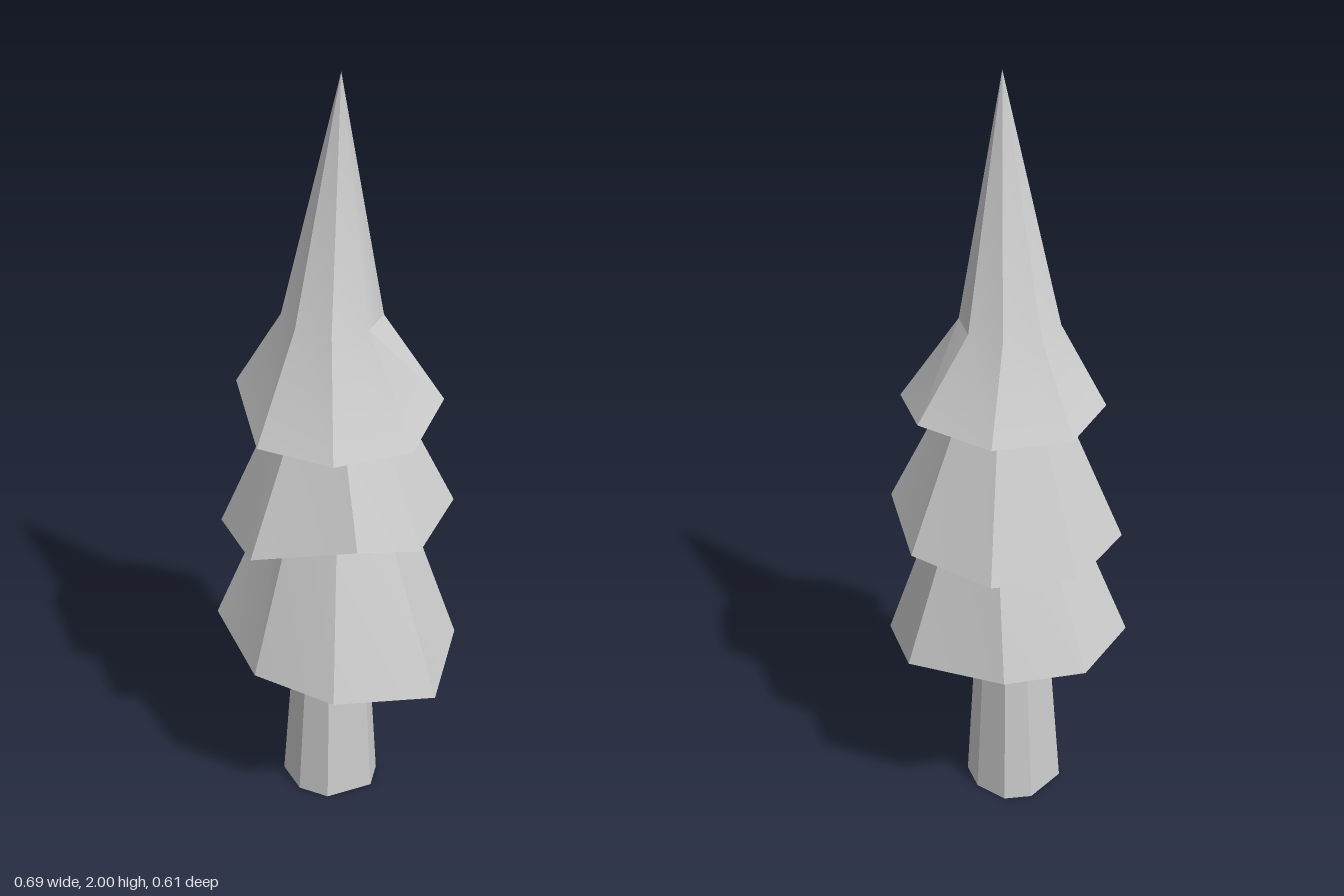
import * as THREE from 'three';
import { toCreasedNormals } from 'three/addons/utils/BufferGeometryUtils.js';

const material = new THREE.MeshStandardMaterial({ color: 0xcccccc });

// Joins rings of [x, y, z] corners (running from +x towards +z) and closes both ends at a point.
function loft(name, rings, bottom, top) {
  const pos = [];
  const tri = (a, b, c) => pos.push(...a, ...b, ...c);
  const n = rings[0].length;
  const last = rings[rings.length - 1];
  for (let i = 0; i < n; i++) {
    const j = (i + 1) % n;
    tri(bottom, rings[0][i], rings[0][j]);
    for (let r = 0; r < rings.length - 1; r++) {
      const a = rings[r], b = rings[r + 1];
      tri(a[i], b[i], b[j]);
      tri(a[i], b[j], a[j]);
    }
    tri(top, last[j], last[i]);
  }
  const geometry = new THREE.BufferGeometry();
  geometry.setAttribute('position', new THREE.Float32BufferAttribute(pos, 3));
  const mesh = new THREE.Mesh(toCreasedNormals(geometry, 0.4), material);
  mesh.name = name;
  return mesh;
}

// Regular eight-sided ring
function octagon(cx, cz, rx, rz, y) {
  return Array.from({ length: 8 }, (_, i) => {
    const a = (i * Math.PI) / 4;
    return [cx + rx * Math.cos(a), y, cz + rz * Math.sin(a)];
  });
}

export function createModel() {
  const group = new THREE.Group();
  group.name = 'pineTree';

  // Tapered trunk, its foot leaning forward a little
  const foot = [
    [0.11, 0, 0], [0.065, 0, 0.12], [-0.015, 0, 0.15], [-0.11, 0, 0.12],
    [-0.14, 0, 0], [-0.105, 0, -0.065], [-0.015, 0, -0.09], [0.065, 0, -0.065],
  ];
  const trunkTop = foot.map(([x, , z]) => [-0.013 + (x + 0.015) * 0.69, 0.6, 0.018 + (z - 0.02) * 0.69]);
  group.add(loft('trunk', [foot, trunkTop], [-0.015, 0, 0.03], [-0.013, 0.6, 0.02]));

  // Lower tier of branches with an uneven rim
  const lowerRim = [
    [0.345, 0.43, 0.005], [0.205, 0.45, 0.23], [-0.015, 0.46, 0.3], [-0.24, 0.515, 0.23],
    [-0.35, 0.53, 0.005], [-0.255, 0.52, -0.18], [-0.015, 0.5, -0.305], [0.205, 0.46, -0.215],
  ];
  group.add(loft('lowerBranches', [lowerRim, octagon(-0.015, 0, 0.14, 0.14, 0.95)],
    [-0.015, 0.48, 0], [-0.015, 0.95, 0]));

  // Middle tier
  const middleRim = [
    [0.28, 0.845, 0.005], [0.217, 0.88, 0.16], [-0.015, 0.815, 0.303], [-0.228, 0.8, 0.215],
    [-0.313, 0.79, 0.005], [-0.228, 0.8, -0.2], [-0.015, 0.82, -0.288], [0.195, 0.87, -0.205],
  ];
  group.add(loft('middleBranches', [middleRim, octagon(-0.012, 0.005, 0.108, 0.105, 1.25)],
    [-0.015, 0.83, 0], [-0.012, 1.25, 0]));

  // Upper tier, narrowing at a knee into the pointed tip
  const upperRim = [
    [0.25, 1.115, 0.005], [0.17, 1.115, 0.195], [-0.015, 1.122, 0.273], [-0.22, 1.188, 0.157],
    [-0.283, 1.165, 0.005], [-0.205, 1.165, -0.18], [-0.015, 1.178, -0.26], [0.172, 1.16, -0.183],
  ];
  group.add(loft('upperBranches', [upperRim, octagon(-0.032, 0.004, 0.126, 0.124, 1.385)],
    [-0.015, 1.15, 0], [0, 2, 0.005]));

  return group;
}
